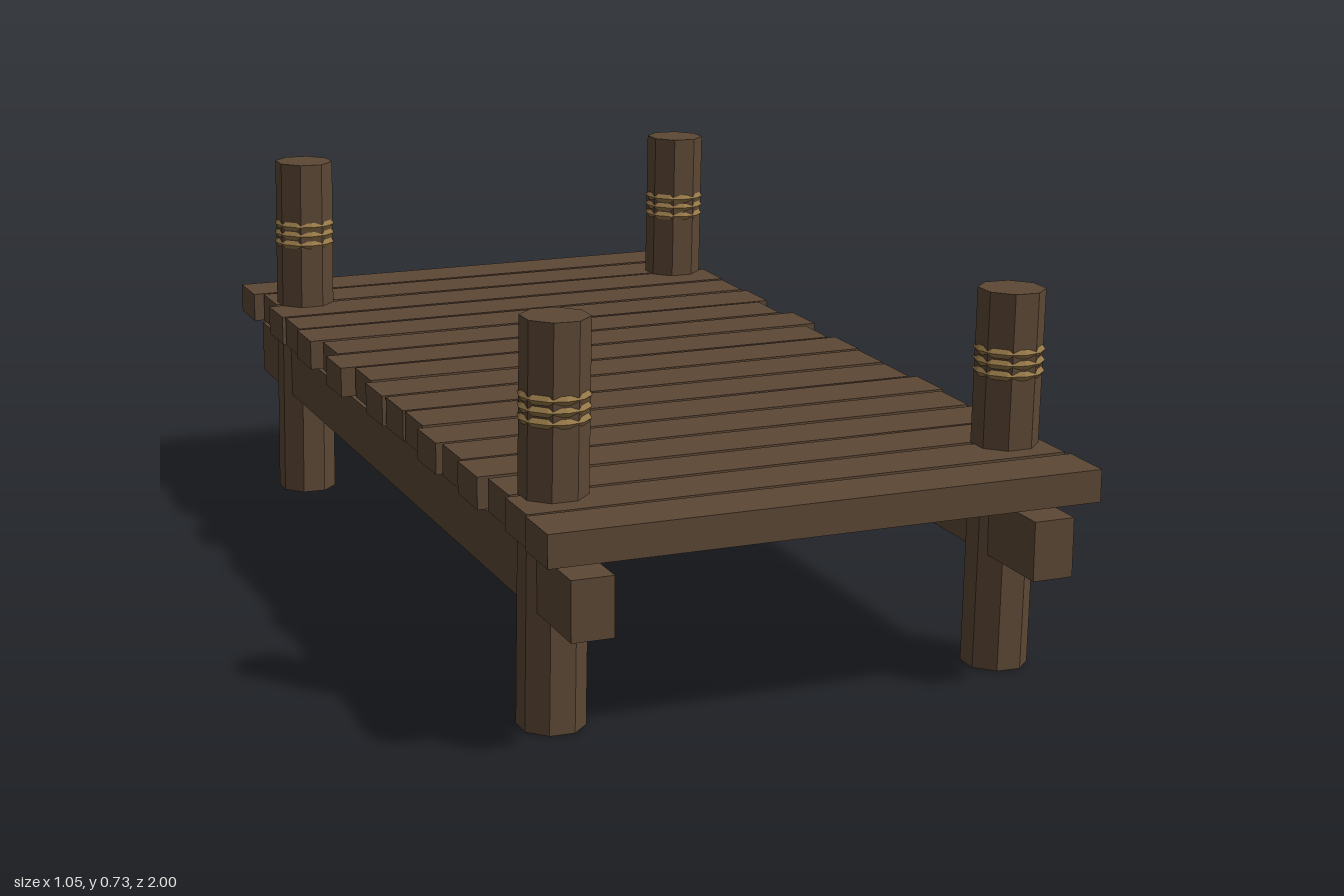
import * as THREE from 'three';

export function createModel() {
  const dock = new THREE.Group();
  dock.name = 'dock';
  const wood = new THREE.MeshStandardMaterial({ color: 0x5c4735, flatShading: true });
  wood.name = 'wood';
  const rope = new THREE.MeshStandardMaterial({ color: 0x967848, flatShading: true });
  rope.name = 'rope';

  const add = (parent, name, geometry, material, x, y, z) => {
    const mesh = new THREE.Mesh(geometry, material);
    mesh.name = name;
    mesh.position.set(x, y, z);
    parent.add(mesh);
    return mesh;
  };

  // Deck planks, uneven in length and very slightly skewed
  const lengths = [1.03, 0.99, 1.03, 1.02, 1.035, 0.99, 1.045, 0.99, 1.02,
    1.01, 1.005, 1.035, 1.015, 1.035, 1.005, 1.025, 1.035];
  lengths.forEach((length, i) => {
    const plank = add(dock, 'plank', new THREE.BoxGeometry(length, 0.06, 0.108), wood,
      -0.002, 0.388, -0.945 + i * 0.1181);
    plank.rotation.y = [0.002, -0.004, 0.004][i % 3];
  });

  // Long beams below the deck
  for (const x of [-0.436, 0.434]) {
    add(dock, 'beam', new THREE.BoxGeometry(0.078, 0.11, 1.97), wood, x, 0.275, 0);
  }

  // Leaning octagonal posts with three rope windings each
  const radius = 0.0615;
  for (const x of [-0.437, 0.435]) {
    for (const z of [-0.782, 0.782]) {
      const height = x > 0 && z > 0 ? 0.705 : 0.73;
      const post = new THREE.Group();
      post.name = 'post';
      post.position.set(x, 0, z);
      post.rotation.z = -0.017;
      dock.add(post);
      const shaft = new THREE.CylinderGeometry(radius, radius, height, 8);
      shaft.rotateY(Math.PI / 8);
      add(post, 'postShaft', shaft, wood, 0, height / 2, 0);
      for (let i = 0; i < 3; i++) {
        const ring = new THREE.TorusGeometry(0.056, 0.009, 5, 12);
        ring.rotateX(Math.PI / 2);
        add(post, 'ropeWinding', ring, rope, 0, 0.555 + i * 0.02, 0);
      }
    }
  }
  return dock;
}
